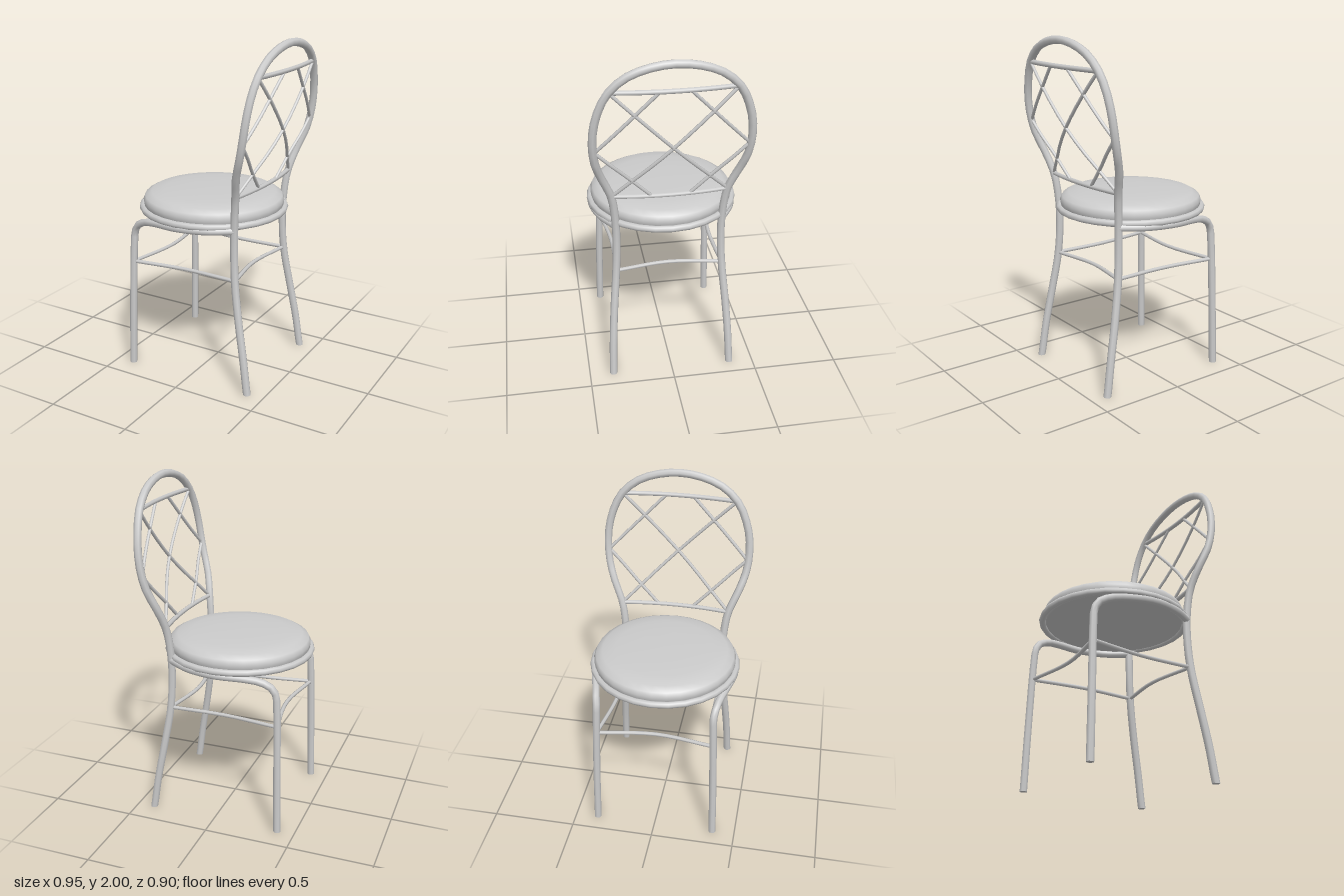
import * as THREE from 'three';

const V = (x, y, z) => new THREE.Vector3(x, y, z);
const SEAT_X = -0.03; // centre of the round seat

export function createModel() {
  const chair = new THREE.Group();
  chair.name = 'chair';
  const metal = new THREE.MeshStandardMaterial({ color: 0xcccccc });
  const fabric = new THREE.MeshStandardMaterial({ color: 0xcccccc });

  function add(name, geometry, material = metal) {
    const mesh = new THREE.Mesh(geometry, material);
    mesh.name = name;
    chair.add(mesh);
    return mesh;
  }

  // Bent metal tube through points, cut flat at the floor
  function tube(name, points, radius, segments, sides = 8, closed = false) {
    const curve = new THREE.CatmullRomCurve3(points, closed, 'centripetal');
    const geometry = new THREE.TubeGeometry(curve, segments, radius, sides, closed);
    const p = geometry.attributes.position;
    for (let i = 0; i < p.count; i++) if (p.getY(i) < 0) p.setY(i, 0);
    return add(name, geometry);
  }

  // Disc that closes a foot on the floor
  function footCap(x, z, radius) {
    const cap = add('footCap', new THREE.CircleGeometry(radius, 8).rotateX(Math.PI / 2));
    cap.position.set(x, 0.001, z);
  }

  // Domed round cushion with a flat underside
  const profile = [[0, 0.975], [0.4, 0.975], [0.415, 1.0], [0.42, 1.03], [0.408, 1.055],
    [0.37, 1.076], [0.29, 1.087], [0.16, 1.093], [0, 1.095]];
  const cushion = add('seatCushion',
    new THREE.LatheGeometry(profile.map(([r, y]) => new THREE.Vector2(r, y)), 32), fabric);
  cushion.position.x = SEAT_X;

  // Seat ring
  const ring = add('seatRing', new THREE.TorusGeometry(0.424, 0.02, 8, 28).rotateX(Math.PI / 2));
  ring.position.set(SEAT_X, 0.985, 0);

  // Back legs and rounded back frame, one continuous tube
  const side = [
    [0.398, -0.01, 0.358], [0.368, 0.2, 0.35], [0.328, 0.42, 0.335], [0.292, 0.64, 0.315],
    [0.28, 0.8, 0.306], [0.28, 0.98, 0.307], [0.297, 1.16, 0.328], [0.33, 1.3, 0.382],
    [0.366, 1.4, 0.415], [0.39, 1.5, 0.428], [0.407, 1.62, 0.423], [0.418, 1.73, 0.395],
    [0.43, 1.83, 0.345], [0.44, 1.91, 0.258], [0.447, 1.957, 0.145],
  ];
  const backPath = [
    ...side.map(([x, y, z]) => V(x, y, z)),
    V(0.45, 1.977, 0),
    ...side.slice().reverse().map(([x, y, z]) => V(x, y, -z)),
  ];
  tube('backFrameAndLegs', backPath, 0.023, 72);

  // Front legs bend under the seat and follow the ring to the back legs
  for (const s of [1, -1]) {
    tube('frontLeg', [
      V(-0.396, -0.01, s * 0.363), V(-0.387, 0.4, s * 0.355), V(-0.376, 0.78, s * 0.343),
      V(-0.368, 0.86, s * 0.341), V(-0.34, 0.905, s * 0.348), V(-0.28, 0.935, s * 0.362),
      V(-0.2, 0.95, s * 0.385), V(-0.03, 0.96, s * 0.418), V(0.14, 0.962, s * 0.385),
      V(0.28, 0.965, s * 0.307),
    ], 0.022, 36);
    footCap(-0.396, s * 0.363, 0.022);
    footCap(0.396, s * 0.358, 0.023);

    // Side stretcher, bowed slightly inwards
    tube('sideStretcher', [
      V(-0.378, 0.668, s * 0.346), V(-0.05, 0.668, s * 0.305), V(0.288, 0.668, s * 0.312),
    ], 0.012, 10, 6);
  }

  // Front and back stretchers, bowed inwards
  tube('frontStretcher', [V(-0.378, 0.668, 0.346), V(-0.33, 0.668, 0), V(-0.378, 0.668, -0.346)],
    0.012, 10, 6);
  tube('backStretcher', [V(0.288, 0.668, 0.312), V(0.245, 0.668, 0), V(0.288, 0.668, -0.312)],
    0.012, 10, 6);

  // Point on the gently curved surface of the backrest
  function onBack(z, y) {
    let i = 5;
    while (i < side.length - 2 && side[i + 1][1] < y) i++;
    const [a, b] = [side[i], side[i + 1]];
    const t = (y - a[1]) / (b[1] - a[1]);
    const halfWidth = a[2] + (b[2] - a[2]) * t;
    const bow = 0.028 * Math.max(0, 1 - (z / halfWidth) ** 2);
    return V(a[0] + (b[0] - a[0]) * t + bow, y, z);
  }

  function backBar(name, z0, y0, z1, y1, radius) {
    const points = [];
    for (let i = 0; i <= 6; i++) {
      points.push(onBack(z0 + (z1 - z0) * i / 6, y0 + (y1 - y0) * i / 6));
    }
    tube(name, points, radius, 10, 6);
  }

  // Horizontal rails of the backrest
  backBar('upperBackRail', 0.345, 1.835, -0.345, 1.835, 0.014);
  backBar('lowerBackRail', 0.328, 1.167, -0.328, 1.167, 0.014);

  // Diagonal lattice
  for (const s of [1, -1]) {
    backBar('longLatticeBar', s * 0.335, 1.83, s * -0.325, 1.17, 0.01);
    backBar('upperLatticeBar', s * 0.425, 1.48, s * 0.08, 1.835, 0.01);
    backBar('lowerLatticeBar', s * 0.425, 1.49, s * 0.105, 1.167, 0.01);
  }

  return chair;
}
